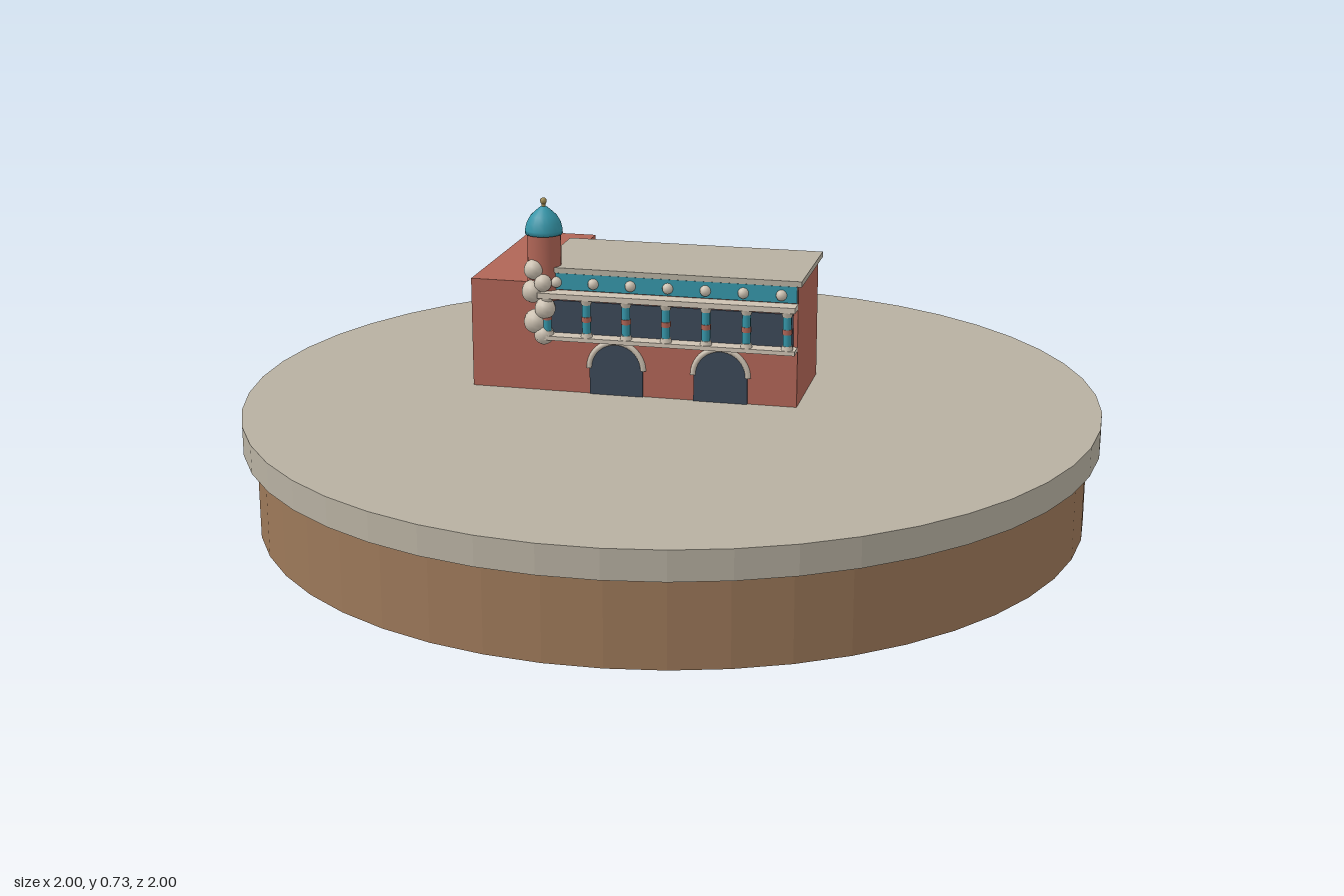
import * as THREE from 'three';

const mat = (name, color, extra = {}) => {
  const m = new THREE.MeshStandardMaterial({ color, ...extra });
  m.name = name;
  return m;
};

export function createModel() {
  const earth = mat('earth brown', 0x9c7859, { flatShading: true });
  const stone = mat('pale stone', 0xb7b0a1, { flatShading: true });
  const brick = mat('red brick', 0xb06556);
  const teal = mat('teal tile', 0x3595a8);
  const glass = mat('dark glass', 0x3c4858);
  const cream = mat('cream stone', 0xcdc2b2);
  const gold = mat('old gold', 0x9a8650);

  const model = new THREE.Group();
  model.name = 'model';

  const add = (parent, name, geometry, material, x = 0, y = 0, z = 0) => {
    const mesh = new THREE.Mesh(geometry, material);
    mesh.name = name;
    mesh.position.set(x, y, z);
    parent.add(mesh);
    return mesh;
  };
  // box given by its extents
  const box = (parent, name, material, x0, x1, y0, y1, z0, z1) =>
    add(parent, name, new THREE.BoxGeometry(x1 - x0, y1 - y0, z1 - z0), material,
      (x0 + x1) / 2, (y0 + y1) / 2, (z0 + z1) / 2);

  // round plinth
  add(model, 'earthBase', new THREE.CylinderGeometry(0.97, 0.97, 0.2, 48), earth, 0, 0.1, 0);
  add(model, 'groundSlab', new THREE.CylinderGeometry(1, 1, 0.067, 48), stone, 0, 0.2335, 0);

  // building, turned on the plinth
  const hall = new THREE.Group();
  hall.name = 'building';
  hall.rotation.y = -Math.PI / 9;
  model.add(hall);
  const G = 0.267;
  const F = 0.036; // front wall plane

  box(hall, 'mainHall', brick, -0.305, 0.305, G, 0.557, -0.238, F);
  box(hall, 'mainRoof', stone, -0.314, 0.314, 0.557, 0.57, -0.25, 0.044);
  box(hall, 'sideWing', brick, -0.478, -0.305, G, 0.53, -0.455, 0.035);

  // wing windows: two rows of five
  for (const y of [0.35, 0.443]) {
    for (let i = 0; i < 5; i++) {
      const z = -0.36 + i * 0.084;
      box(hall, 'wingWindow', glass, -0.484, -0.477, y - 0.028, y + 0.028, z - 0.019, z + 0.019);
    }
  }

  // arched doorways with cream surrounds
  const arch = new THREE.Shape();
  arch.moveTo(-0.064, 0);
  arch.lineTo(0.064, 0);
  arch.lineTo(0.064, 0.064);
  arch.absarc(0, 0.064, 0.064, 0, Math.PI, false);
  arch.lineTo(-0.064, 0);
  const archGeo = new THREE.ExtrudeGeometry(arch, { depth: 0.006, bevelEnabled: false, curveSegments: 16 });
  const rimGeo = new THREE.TorusGeometry(0.065, 0.007, 6, 20, Math.PI);
  for (const x of [-0.125, 0.125]) {
    add(hall, 'archedDoor', archGeo, glass, x, G, F - 0.001);
    add(hall, 'archSurround', rimGeo, cream, x, G + 0.064, F + 0.003);
  }

  // gallery behind the columns, tiled frieze above
  box(hall, 'galleryGlass', glass, -0.295, 0.295, 0.412, 0.49, F - 0.002, F + 0.004);
  box(hall, 'tiledFrieze', teal, -0.303, 0.303, 0.517, 0.556, F - 0.002, F + 0.005);
  box(hall, 'balconySlab', cream, -0.305, 0.305, 0.402, 0.412, F, 0.076);
  box(hall, 'cornice', cream, -0.305, 0.305, 0.502, 0.515, F, 0.076);

  // colonnade and frieze rosettes
  const shaftGeo = new THREE.CylinderGeometry(0.01, 0.01, 0.09, 10);
  const capGeo = new THREE.CylinderGeometry(0.015, 0.011, 0.012, 10);
  const footGeo = new THREE.CylinderGeometry(0.012, 0.014, 0.01, 10);
  const bandGeo = new THREE.CylinderGeometry(0.0115, 0.0115, 0.012, 10);
  const rosetteGeo = new THREE.SphereGeometry(0.013, 10, 8);
  for (let i = -3; i <= 3; i++) {
    const column = new THREE.Group();
    column.name = 'column';
    column.position.set(i * 0.095, 0, 0.061);
    hall.add(column);
    add(column, 'shaft', shaftGeo, teal, 0, 0.457, 0);
    add(column, 'foot', footGeo, cream, 0, 0.417, 0);
    add(column, 'band', bandGeo, brick, 0, 0.455, 0);
    add(column, 'capital', capGeo, cream, 0, 0.496, 0);
    add(hall, 'rosette', rosetteGeo, cream, i * 0.089, 0.535, F + 0.007);
  }

  // corner turret with tiled dome and finial
  const turret = new THREE.Group();
  turret.name = 'cornerTurret';
  turret.position.set(-0.302, 0, 0.019);
  hall.add(turret);
  add(turret, 'turretDrum', new THREE.CylinderGeometry(0.04, 0.04, 0.16, 20), brick, 0, 0.57, 0);
  const dome = [[0, 0.645], [0.044, 0.645], [0.044, 0.655], [0.04, 0.672], [0.031, 0.688],
    [0.018, 0.7], [0.007, 0.709], [0, 0.712]].map(([r, y]) => new THREE.Vector2(r, y));
  add(turret, 'dome', new THREE.LatheGeometry(dome, 20), teal);
  add(turret, 'finialRod', new THREE.CylinderGeometry(0.004, 0.006, 0.02, 8), gold, 0, 0.712, 0);
  add(turret, 'finialBall', new THREE.SphereGeometry(0.008, 10, 8), gold, 0, 0.722, 0);

  // clustered carved stone on the corner: x, y, z, radius
  const carving = new THREE.Group();
  carving.name = 'cornerCarving';
  hall.add(carving);
  for (const [x, y, z, r] of [
    [-0.318, 0.565, 0.052, 0.024], [-0.322, 0.512, 0.05, 0.027], [-0.315, 0.44, 0.052, 0.029],
    [-0.29, 0.475, 0.06, 0.025], [-0.295, 0.41, 0.055, 0.024], [-0.295, 0.535, 0.058, 0.021],
  ]) add(carving, 'carvedBoss', new THREE.SphereGeometry(r, 12, 9), cream, x, y, z);

  return model;
}
